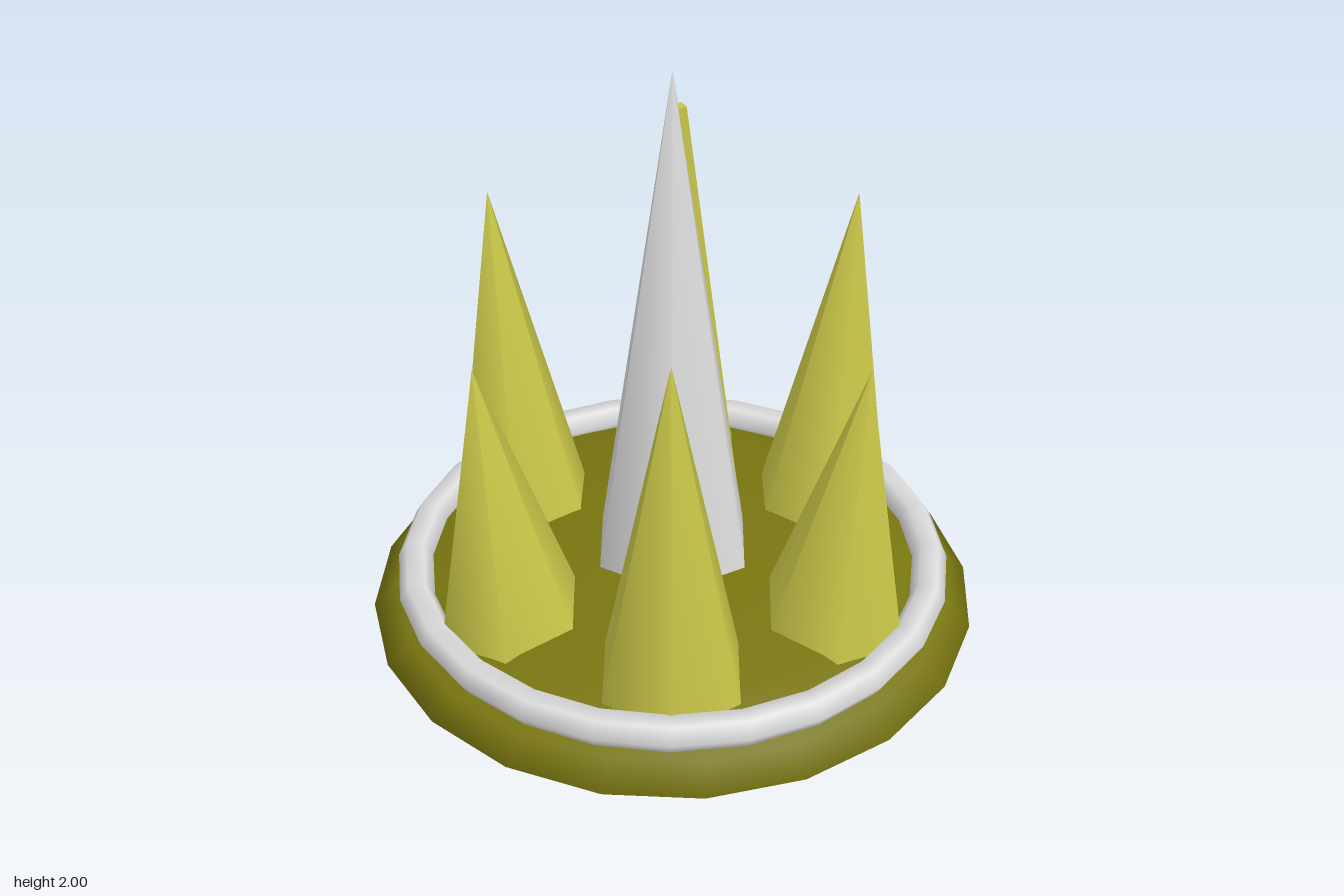
import * as THREE from 'three';

const mat = (name, color) => {
  const m = new THREE.MeshStandardMaterial({ color });
  m.name = name;
  return m;
};

export function createModel() {
  const olive = mat('dark olive', 0x787510);
  const gold = mat('yellow gold', 0xc8c648);
  const white = mat('off white', 0xdcdcdc);

  const model = new THREE.Group();
  model.name = 'spikedDish';
  const add = (name, geometry, material, parent = model) => {
    const mesh = new THREE.Mesh(geometry, material);
    mesh.name = name;
    parent.add(mesh);
    return mesh;
  };

  // six-sided spike standing on its origin, corners on the x axis
  const spike = (radius, height) =>
    new THREE.ConeGeometry(radius, height, 6, 1, false, Math.PI / 2).translate(0, height / 2, 0);

  // flattened round base
  add('base', new THREE.SphereGeometry(0.955, 20, 8).scale(1, 0.19 / 0.955, 1), olive).position.y = 0.19;

  // rim ring resting on the base
  add('rimRing', new THREE.TorusGeometry(0.82, 0.055, 6, 24).rotateX(Math.PI / 2), white).position.y = 0.314;

  // tall middle spike
  const footY = 0.3;
  add('centreSpike', spike(0.272, 2 - footY), white).position.y = footY;

  // slim strip running up one back edge of the middle spike
  const strip = new THREE.Group();
  strip.name = 'edgeStrip';
  strip.rotation.y = Math.PI / 3;
  model.add(strip);
  const top = new THREE.Vector2(0.017, 1.885);
  const bottom = new THREE.Vector2(0.237, 0.32);
  const bar = add('stripBar', new THREE.BoxGeometry(0.038, top.distanceTo(bottom), 0.032), gold, strip);
  bar.position.set((top.x + bottom.x) / 2, (top.y + bottom.y) / 2, 0);
  bar.rotation.z = Math.atan2(bottom.x - top.x, top.y - bottom.y);

  // six outer spikes, alternately short and tall, leaning outward
  for (let i = 0; i < 6; i++) {
    const rise = (i % 2 ? 1.45 : 1.23) - footY;
    const lean = 0.08;
    const arm = new THREE.Group();
    arm.name = `outerSpike${i + 1}`;
    arm.rotation.y = -i * Math.PI / 3;
    model.add(arm);
    const cone = add('spikeCone', spike(0.238, Math.hypot(rise, lean)), gold, arm);
    cone.position.set(0.57, footY, 0);
    cone.rotation.z = -Math.atan2(lean, rise);
  }

  return model;
}
